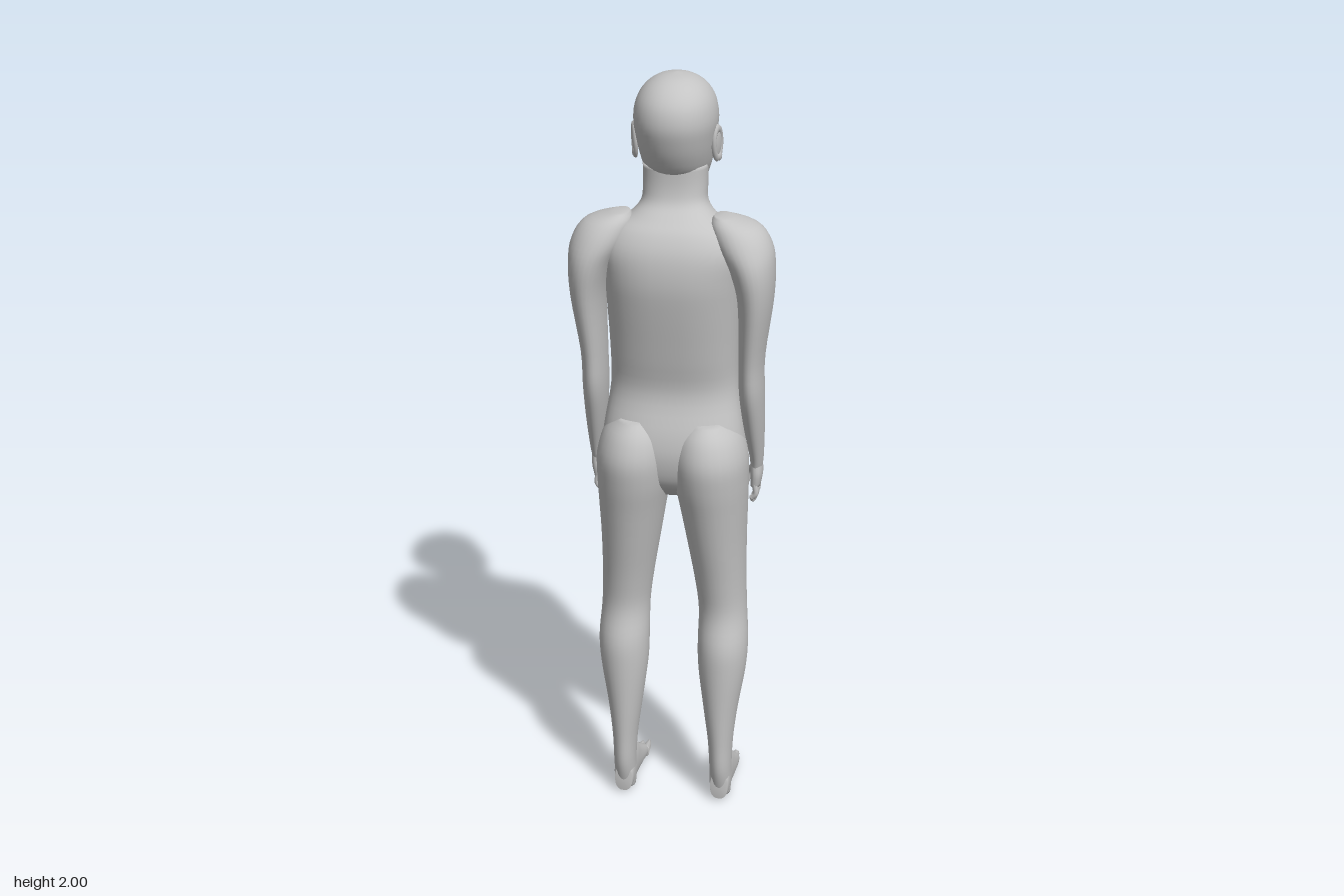
import * as THREE from 'three';

const skin = new THREE.MeshStandardMaterial({ color: 0xc4c4c4 });
skin.name = 'plain grey';

// Smooth interpolation through a list of stations
function smooth(rows, steps) {
  const out = [];
  for (let i = 0; i < rows.length - 1; i++) {
    const p0 = rows[Math.max(i - 1, 0)], p1 = rows[i], p2 = rows[i + 1], p3 = rows[Math.min(i + 2, rows.length - 1)];
    for (let k = 0; k < steps; k++) {
      const t = k / steps;
      out.push(p1.map((b, j) => {
        const a = p0[j], c = p2[j], d = p3[j];
        return 0.5 * (2 * b + (c - a) * t + (2 * a - 5 * b + 4 * c - d) * t * t + (3 * b - a - 3 * c + d) * t * t * t);
      }));
    }
  }
  out.push(rows[rows.length - 1]);
  return out;
}

// Closed skin over oval rings: [station, centre x, half width, low, high].
// Along 'y' low/high are front and back z; along 'z' they are bottom and top y.
function loft(rows, axis = 'y', side = 1, power = 1, segs = 28) {
  const rings = smooth([...rows].sort((a, b) => a[0] - b[0]), 4);
  const pos = [], idx = [];
  const put = (x, t, v) => (axis === 'y' ? pos.push(x, t, v) : pos.push(x, v, t));
  const tri = (a, b, c) => (axis === 'y' ? idx.push(a, c, b) : idx.push(a, b, c));
  const bend = (v) => Math.sign(v) * Math.pow(Math.abs(v), power);
  for (const [t, cx, rx, lo, hi] of rings) {
    for (let k = 0; k < segs; k++) {
      const a = (k / segs) * Math.PI * 2;
      put(cx * side + rx * bend(Math.cos(a)), t, (lo + hi) / 2 + ((hi - lo) / 2) * bend(Math.sin(a)));
    }
  }
  const n = rings.length;
  for (let i = 0; i < n - 1; i++) {
    for (let k = 0; k < segs; k++) {
      const a = i * segs + k, b = i * segs + ((k + 1) % segs);
      tri(a, b, a + segs);
      tri(b, b + segs, a + segs);
    }
  }
  // End caps
  [rings[0], rings[n - 1]].forEach(([t, cx, , lo, hi], e) => {
    const c = pos.length / 3, s = e ? (n - 1) * segs : 0;
    put(cx * side, t, (lo + hi) / 2);
    for (let k = 0; k < segs; k++) {
      const a = s + k, b = s + ((k + 1) % segs);
      if (e) tri(a, b, c); else tri(b, a, c);
    }
  });
  const g = new THREE.BufferGeometry();
  g.setAttribute('position', new THREE.Float32BufferAttribute(pos, 3));
  g.setIndex(idx);
  g.computeVertexNormals();
  return g;
}

export function createModel() {
  const model = new THREE.Group();
  model.name = 'standingFigure';
  const add = (name, geo, parent = model) => {
    const m = new THREE.Mesh(geo, skin);
    m.name = name;
    parent.add(m);
    return m;
  };
  const ball = (name, x, y, z, rx, ry, rz, parent) => {
    const m = add(name, new THREE.SphereGeometry(1, 18, 12), parent);
    m.position.set(x, y, z);
    m.scale.set(rx, ry, rz);
    return m;
  };
  const limb = (name, pts, r, parent) => {
    const c = new THREE.CatmullRomCurve3(pts.map((p) => new THREE.Vector3(...p)));
    add(name, new THREE.TubeGeometry(c, 8, r, 8), parent);
    ball(name + 'Tip', ...pts[pts.length - 1], r, r, r, parent);
  };

  // Torso and neck
  add('torso', loft([
    [0.91, 0, 0.09, -0.05, 0.06], [0.96, 0, 0.165, -0.075, 0.11], [1.03, 0, 0.185, -0.09, 0.13],
    [1.1, 0, 0.179, -0.096, 0.125], [1.2, 0, 0.164, -0.102, 0.1], [1.3, 0, 0.163, -0.112, 0.118],
    [1.43, 0, 0.168, -0.115, 0.145], [1.51, 0, 0.172, -0.105, 0.157], [1.58, 0, 0.175, -0.075, 0.152],
    [1.63, 0, 0.15, -0.055, 0.13], [1.66, 0, 0.105, -0.05, 0.1], [1.69, 0, 0.082, -0.058, 0.07],
    [1.73, 0, 0.08, -0.068, 0.06], [1.78, 0, 0.08, -0.07, 0.06],
  ], 'y', 1, 0.85, 40));

  // Head, face looking along -z
  const head = new THREE.Group();
  head.name = 'head';
  model.add(head);
  add('skull', loft([
    [1.695, 0, 0.03, -0.115, -0.05], [1.715, 0, 0.06, -0.133, -0.01], [1.76, 0, 0.08, -0.143, 0.055],
    [1.8, 0, 0.09, -0.143, 0.085], [1.845, 0, 0.097, -0.136, 0.105], [1.89, 0, 0.103, -0.144, 0.116],
    [1.935, 0, 0.096, -0.132, 0.108], [1.97, 0, 0.075, -0.103, 0.08], [1.992, 0, 0.042, -0.062, 0.04],
    [2, 0, 0.004, -0.02, -0.01],
  ], 'y', 1, 0.95, 36), head);
  add('nose', loft([
    [1.785, 0, 0.008, -0.148, -0.12], [1.797, 0, 0.021, -0.163, -0.12], [1.808, 0, 0.018, -0.167, -0.12],
    [1.835, 0, 0.011, -0.151, -0.12], [1.865, 0, 0.009, -0.142, -0.12],
  ], 'y', 1, 1, 16), head);
  ball('upperLip', 0, 1.768, -0.142, 0.026, 0.008, 0.011, head);
  ball('lowerLip', 0, 1.752, -0.14, 0.022, 0.009, 0.011, head);
  ball('chin', 0, 1.722, -0.12, 0.03, 0.02, 0.018, head);

  for (const s of [1, -1]) {
    const half = s > 0 ? 'left' : 'right';
    // Eye, brow and ear
    ball(half + 'Eye', s * 0.038, 1.848, -0.123, 0.018, 0.009, 0.012, head);
    ball(half + 'Brow', s * 0.04, 1.872, -0.126, 0.026, 0.007, 0.011, head).rotation.y = s * -0.3;
    const ear = new THREE.Group();
    ear.name = half + 'Ear';
    ear.position.set(s * 0.102, 1.83, -0.008);
    ear.rotation.set(0.2, s * -0.3, 0);
    head.add(ear);
    const rim = add('earRim', new THREE.TorusGeometry(0.02, 0.006, 8, 24), ear);
    rim.rotation.y = Math.PI / 2;
    rim.scale.y = 1.9;
    ball('earBowl', 0, 0, 0, 0.006, 0.036, 0.02, ear);
    ball('earLobe', 0, -0.038, -0.007, 0.007, 0.013, 0.011, ear);

    // Chest mound
    ball(half + 'Chest', s * 0.08, 1.44, -0.082, 0.066, 0.075, 0.041);

    // Shoulder, arm and wrist
    add(half + 'Arm', loft([
      [1.668, 0.125, 0.02, 0.02, 0.08], [1.645, 0.155, 0.06, -0.015, 0.115], [1.6, 0.178, 0.07, -0.032, 0.14],
      [1.54, 0.2, 0.057, -0.035, 0.15], [1.45, 0.209, 0.044, -0.032, 0.138], [1.3, 0.2, 0.033, -0.028, 0.108],
      [1.2, 0.2, 0.032, -0.04, 0.093], [1.1, 0.204, 0.027, -0.05, 0.055], [1, 0.209, 0.018, -0.058, 0.01],
      [0.96, 0.207, 0.015, -0.06, -0.006],
    ], 'y', s));

    // Hand
    const hand = new THREE.Group();
    hand.name = half + 'Hand';
    model.add(hand);
    add('palm', loft([
      [0.985, 0.208, 0.015, -0.058, -0.002], [0.95, 0.209, 0.016, -0.067, 0], [0.915, 0.206, 0.013, -0.066, -0.006],
    ], 'y', s, 0.85, 18), hand);
    for (let i = 0; i < 4; i++) {
      const z = -0.06 + i * 0.016;
      limb('finger', [[s * 0.206, 0.925, z], [s * 0.209, 0.895, z], [s * 0.2, 0.872 + (i === 3 ? 0.012 : 0), z - 0.003]], 0.0075, hand);
    }
    limb('thumb', [[s * 0.2, 0.96, -0.05], [s * 0.185, 0.935, -0.07], [s * 0.178, 0.905, -0.074]], 0.0085, hand);

    // Leg with buttock, thigh, knee and calf
    add(half + 'Leg', loft([
      [1.13, 0.09, 0.05, -0.04, 0.115], [1.09, 0.093, 0.082, -0.07, 0.148], [1.03, 0.097, 0.097, -0.085, 0.167],
      [0.96, 0.1, 0.096, -0.086, 0.16], [0.88, 0.106, 0.088, -0.086, 0.142], [0.78, 0.113, 0.078, -0.084, 0.12],
      [0.66, 0.123, 0.068, -0.073, 0.095], [0.57, 0.13, 0.064, -0.064, 0.086], [0.48, 0.133, 0.067, -0.052, 0.106],
      [0.4, 0.132, 0.063, -0.043, 0.108], [0.28, 0.13, 0.046, -0.026, 0.103], [0.18, 0.131, 0.034, -0.012, 0.097],
      [0.1, 0.132, 0.03, -0.004, 0.092], [0.04, 0.132, 0.029, 0, 0.075], [0.006, 0.132, 0.026, 0, 0.06],
    ], 'y', s));

    // Wedge-shaped foot with tapering toes
    add(half + 'Foot', loft([
      [0.075, 0.132, 0.024, 0.006, 0.08], [0.05, 0.132, 0.029, 0, 0.125], [0.005, 0.132, 0.031, 0, 0.128],
      [-0.04, 0.132, 0.034, 0.002, 0.095], [-0.09, 0.13, 0.037, 0.006, 0.06], [-0.125, 0.127, 0.034, 0.01, 0.036],
    ], 'z', s, 0.85, 20));
    for (let i = 0; i < 4; i++) {
      const x = 0.101 + i * 0.017, tip = -0.166 + i * 0.008;
      add(half + 'Toe', loft([
        [-0.1, x, 0.011, 0.008, 0.045], [-0.135, x, 0.009, 0.012, 0.034], [tip, x, 0.003, 0.015, 0.024],
      ], 'z', s, 1, 10));
    }
  }
  return model;
}
